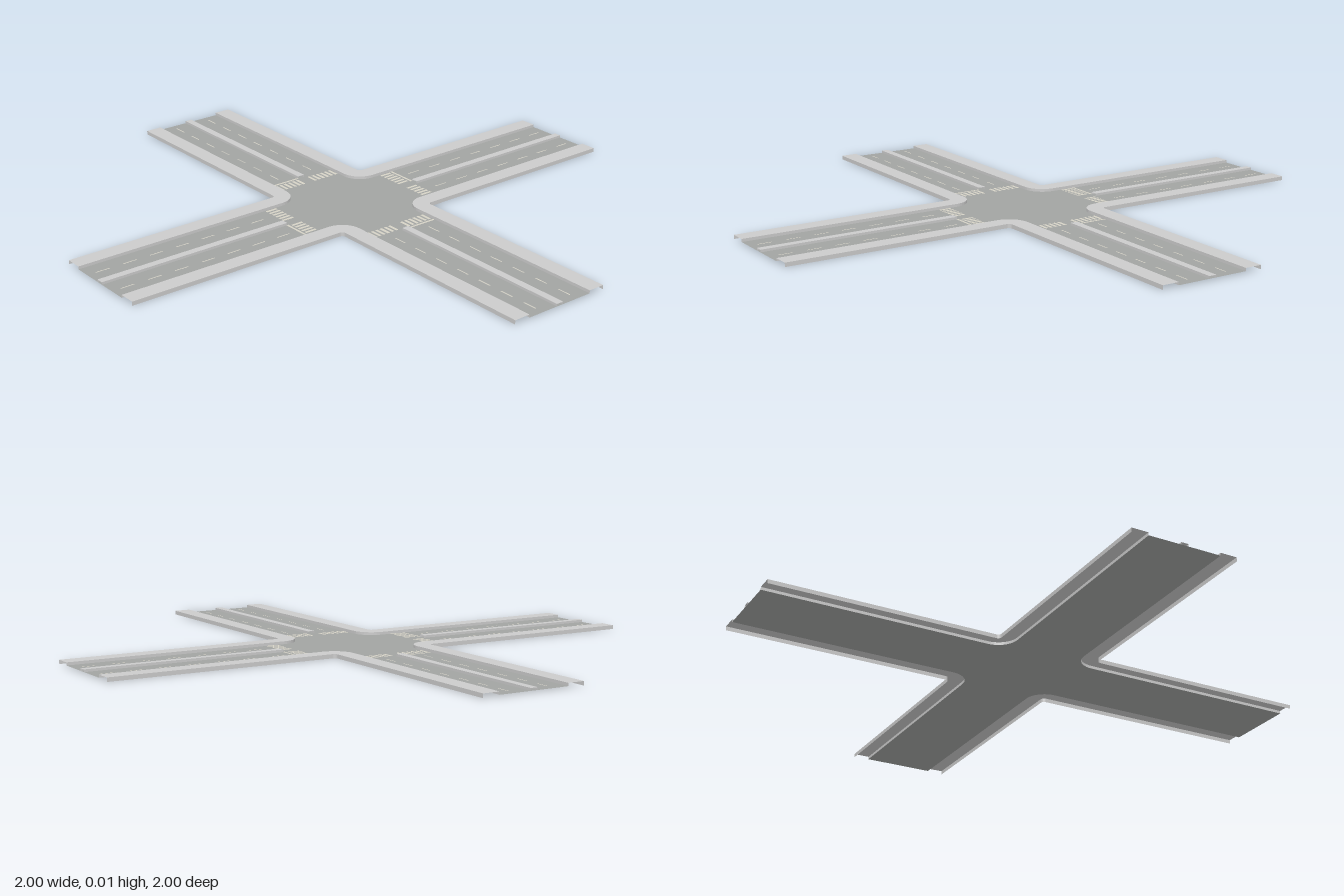
import * as THREE from 'three';

const ROAD_Y = 0.004, WALK_Y = 0.014, MARK_Y = 0.005;
const HALF_ROAD = 0.128, WALK_WIDTH = 0.059, CENTRE = 0.2, END = 1;

const mat = (color) => new THREE.MeshStandardMaterial({ color, side: THREE.DoubleSide });

function add(parent, name, geometry, material) {
  const mesh = new THREE.Mesh(geometry, material);
  mesh.name = name;
  parent.add(mesh);
  return mesh;
}

// Curb line round one corner: points with the direction pointing away from the road
function cornerPath(steps = 10) {
  const r = CENTRE - HALF_ROAD;
  const path = [{ x: HALF_ROAD, z: END, nx: 1, nz: 0 }];
  for (let i = 0; i <= steps; i++) {
    const a = (i / steps) * Math.PI / 2;
    const nx = Math.cos(a), nz = Math.sin(a);
    path.push({ x: CENTRE - r * nx, z: CENTRE - r * nz, nx, nz });
  }
  path.push({ x: END, z: HALF_ROAD, nx: 0, nz: 1 });
  return path;
}

// Sweeps an open profile of [offset, height] along a path, without end caps
function sweep(path, profile) {
  const pos = [];
  const at = (p, [d, y]) => [p.x + p.nx * d, y, p.z + p.nz * d];
  for (let i = 0; i < path.length - 1; i++) {
    for (let j = 0; j < profile.length - 1; j++) {
      const a = at(path[i], profile[j]), b = at(path[i], profile[j + 1]);
      const c = at(path[i + 1], profile[j + 1]), d = at(path[i + 1], profile[j]);
      pos.push(...a, ...b, ...c, ...a, ...c, ...d);
    }
  }
  const g = new THREE.BufferGeometry();
  g.setAttribute('position', new THREE.Float32BufferAttribute(pos, 3));
  g.computeVertexNormals();
  return g;
}

// Flat painted rectangle on the road
function paint(parent, name, x, z, w, l, material) {
  const mesh = add(parent, name, new THREE.PlaneGeometry(w, l).rotateX(-Math.PI / 2), material);
  mesh.position.set(x, MARK_Y, z);
}

export function createModel() {
  const model = new THREE.Group();
  model.name = 'crossroads';
  const asphalt = mat(0xa2a4a2), paving = mat(0xbcbdbc), white = mat(0xd6d3c6);

  // Road surface: a cross with rounded inner corners
  const outline = [];
  const corner = cornerPath().reverse();
  for (let k = 0; k < 4; k++) {
    for (const p of corner) {
      outline.push(new THREE.Vector2(p.x, p.z).rotateAround(new THREE.Vector2(), k * Math.PI / 2));
    }
  }
  const road = new THREE.ShapeGeometry(new THREE.Shape(outline)).rotateX(-Math.PI / 2);
  add(model, 'roadSurface', road, asphalt).position.y = ROAD_Y;

  const walkGeometry = sweep(cornerPath(), [
    [0, ROAD_Y], [0, WALK_Y], [WALK_WIDTH, WALK_Y], [WALK_WIDTH, 0],
  ]);
  const medianGeometry = sweep(
    [{ x: 0, z: END, nx: 1, nz: 0 }, { x: 0, z: 0.285, nx: 1, nz: 0 }],
    [[-0.013, ROAD_Y], [-0.013, 0.0125], [0.013, 0.0125], [0.013, ROAD_Y]],
  );

  // Four identical arms, each with one corner pavement
  for (let k = 0; k < 4; k++) {
    const arm = new THREE.Group();
    arm.name = 'arm' + (k + 1);
    arm.rotation.y = k * Math.PI / 2;
    model.add(arm);

    add(arm, 'sidewalk', walkGeometry, paving);
    add(arm, 'median', medianGeometry, paving);
    paint(arm, 'stopLine', 0.07, 0.285, 0.112, 0.008, white);

    for (const side of [-1, 1]) {
      // Crossing stripes
      for (let i = 0; i < 6; i++) {
        paint(arm, 'crossingStripe', side * (0.026 + i * 0.0183), 0.253, 0.0105, 0.044, white);
      }
      // Lane dashes
      for (let i = 0; i < 7; i++) {
        paint(arm, 'laneDash', side * 0.073, 0.345 + i * 0.1, 0.004, 0.05, white);
      }
    }
  }
  return model;
}
